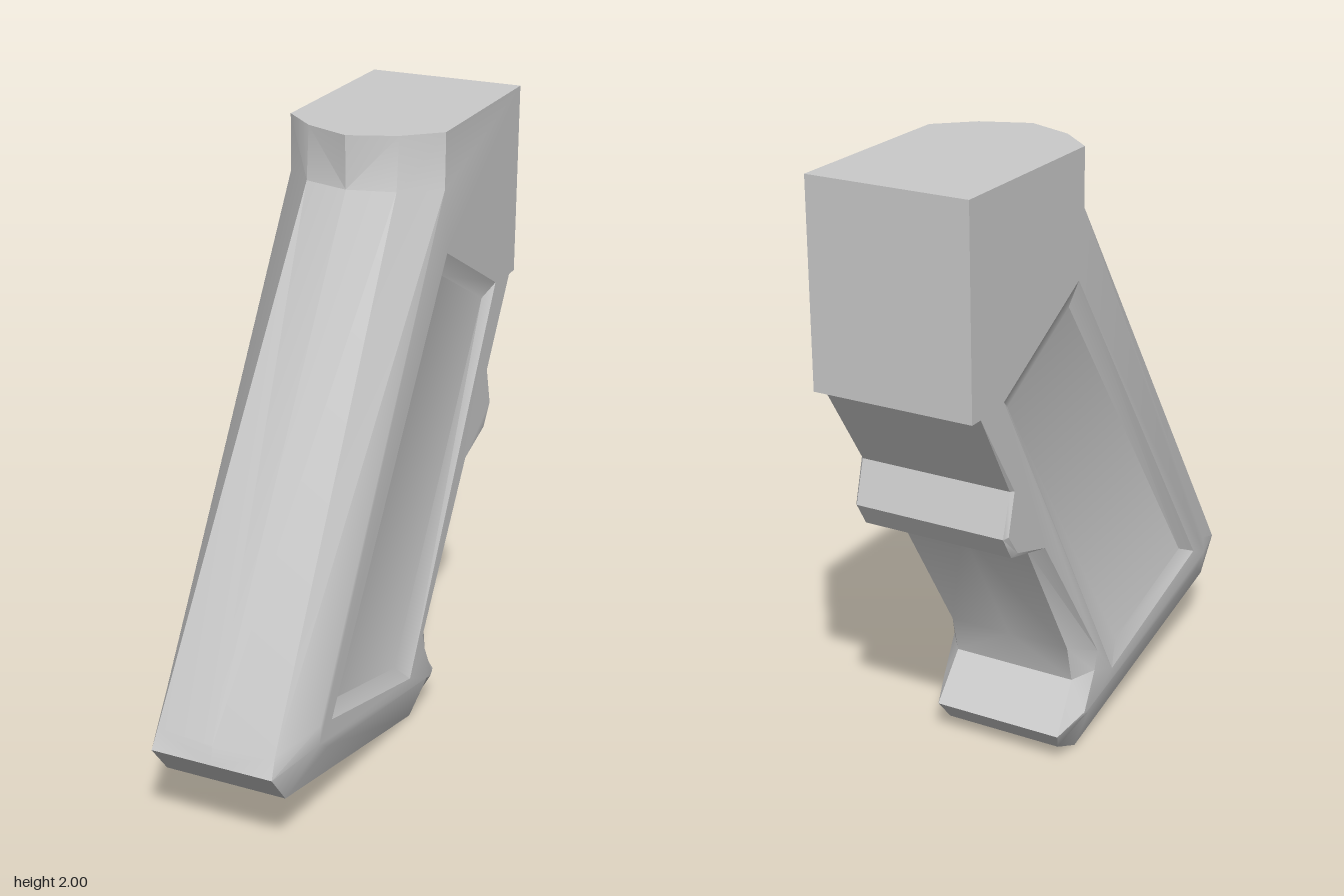
import * as THREE from 'three';
import { toCreasedNormals } from 'three/addons/utils/BufferGeometryUtils.js';

const HALF = 0.26;   // half width of the grip
const FLOOR = 0.235; // half width at the recessed side panels

// Outline running down the front, along the base and up the back:
// [centre z, edge z, y, edge x, side z, side y]
const OUTLINE = [
  [-0.07, -0.13, 2.0, 0.15, -0.23, 2.0],
  [-0.075, -0.115, 1.83, 0.15, -0.23, 1.82],
  [0.846, 0.825, 0.39, 0.195, 0.65, 0.42],
  [0.857, 0.857, 0.33, 0.2, 0.66, 0.36],
  [0.77, 0.77, 0.22, 0.2, 0.6, 0.32],
  [-0.16, -0.16, 0.0, 0.2, -0.16, 0.16],
  [-0.27, -0.27, 0.05, 0.2, -0.19, 0.15],
  [-0.31, -0.31, 0.11, 0.22, -0.205, 0.16],
  [-0.2, -0.2, 0.26, 0.21, -0.14, 0.28],
  [-0.23, -0.23, 0.385, 0.21, -0.12, 0.34],
  [-0.505, -0.505, 0.85, 0.22, -0.46, 0.84],
  [-0.64, -0.64, 0.88, 0.25, -0.62, 0.89],
  [-0.685, -0.685, 0.955, 0.25, -0.67, 0.96],
  [-0.645, -0.645, 1.09, 0.25, -0.635, 1.09],
  [-0.815, -0.815, 1.37, 0.26, -0.815, 1.37],
  [-0.86, -0.86, 1.37, 0.26, -0.86, 1.37],
  [-0.86, -0.86, 2.0, 0.26, -0.86, 2.0],
];

// Rim and floor corners of the side panel, as [z, y]
const RIM = [[-0.26, 1.61], [0.575, 0.4], [-0.02, 0.23], [-0.69, 1.38]];
const INNER = [[-0.275, 1.53], [0.51, 0.43], [0.05, 0.3], [-0.63, 1.34]];

// Collects triangles and mirrors each one across x = 0
function mirroredSurface() {
  const pos = [];
  const tri = (a, b, c) => {
    if (new THREE.Triangle(a, b, c).getArea() < 1e-7) return;
    for (const p of [a, b, c]) pos.push(p.x, p.y, p.z);
    for (const p of [a, c, b]) pos.push(-p.x, p.y, p.z);
  };
  const quad = (a, b, c, d) => { tri(a, b, c); tri(a, c, d); };
  const mesh = (name, crease) => {
    const geo = new THREE.BufferGeometry();
    geo.setAttribute('position', new THREE.Float32BufferAttribute(pos, 3));
    const m = new THREE.Mesh(toCreasedNormals(geo, crease),
      new THREE.MeshStandardMaterial({ color: 0xcccccc }));
    m.name = name;
    return m;
  };
  return { tri, quad, mesh };
}

const at = (x) => ([z, y]) => new THREE.Vector3(x, y, z);

export function createModel() {
  const group = new THREE.Group();
  group.name = 'pistolGrip';

  const centre = OUTLINE.map(([z, , y]) => new THREE.Vector3(0, y, z));
  const edge = OUTLINE.map(([, z, y, x]) => new THREE.Vector3(x, y, z));
  const side = OUTLINE.map((p) => new THREE.Vector3(HALF, p[5], p[4]));
  const rim = RIM.map(at(HALF));
  const inner = INNER.map(at(FLOOR));

  // Body: front strap, base, finger grooves, top block and chamfers
  const body = mirroredSurface();
  for (let i = 0; i < OUTLINE.length; i++) {
    const j = (i + 1) % OUTLINE.length;
    body.quad(side[i], edge[i], edge[j], side[j]);
    body.quad(edge[i], centre[i], centre[j], edge[j]);
  }

  // Flat sides, with an opening for the panel
  const flat = (p) => new THREE.Vector2(-p.z, p.y);
  const all = [...side, ...rim];
  for (const [a, b, c] of THREE.ShapeUtils.triangulateShape(side.map(flat), [rim.map(flat)])) {
    body.tri(all[a], all[b], all[c]);
  }
  group.add(body.mesh('gripBody', 0.5));

  // Recessed side panels: sloped border and floor
  const panel = mirroredSurface();
  for (let i = 0; i < 4; i++) {
    const j = (i + 1) % 4;
    panel.quad(rim[i], rim[j], inner[j], inner[i]);
  }
  panel.quad(...inner);
  group.add(panel.mesh('sidePanels', 0.5));

  return group;
}
